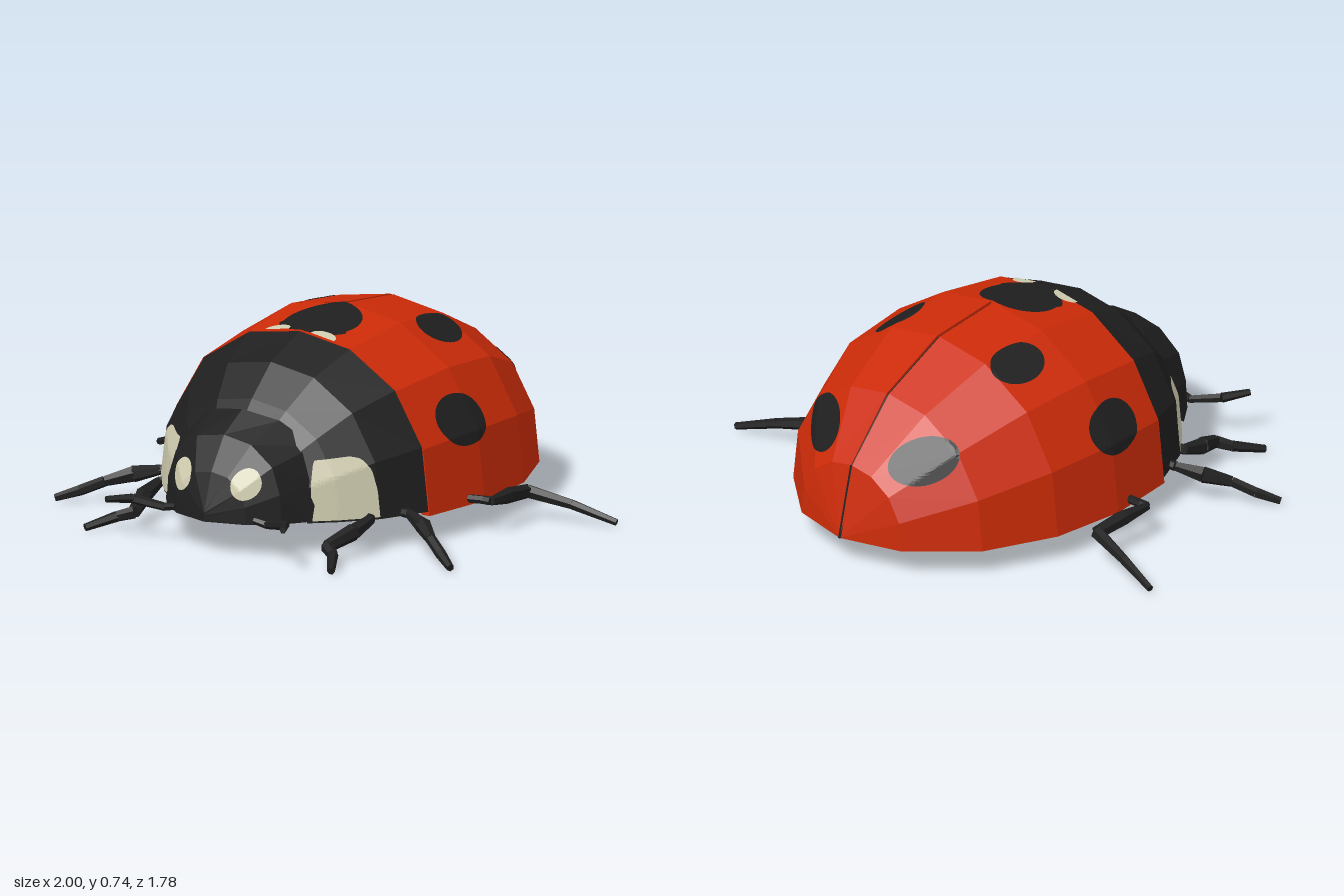
import * as THREE from 'three';

function paint(name, color) {
  const m = new THREE.MeshStandardMaterial({ color, side: THREE.DoubleSide });
  m.name = name;
  return m;
}
const red = paint('shellRed', 0xcc2b08);
const black = paint('bodyBlack', 0x1f1f1f);
const cream = paint('patchCream', 0xd0ccb0);

const V = (x, y, z) => new THREE.Vector3(x, y, z);

function named(name, geometry, material) {
  const mesh = new THREE.Mesh(geometry, material);
  mesh.name = name;
  return mesh;
}

// Flat-faced geometry from a list of triangle corners
function facets(points) {
  const g = new THREE.BufferGeometry().setFromPoints(points);
  g.computeVertexNormals();
  return g;
}

// Half arch from the +x foot to the crown, mirrored to a full arch
const flipArch = (half) => [...half].reverse().map(([x, y]) => [-x, y]);
const mirrorArch = (half) => [...half, ...flipArch(half).slice(1)];
const domeSide = [[1, 0], [0.95, 0.4], [0.74, 0.73], [0.39, 0.94]];
const domeArch = mirrorArch([...domeSide, [0, 1]]);
const wingArch = [...domeSide, [0.011, 1], [0.011, 0.982]];
const headArch = mirrorArch([[1, 0], [0.97, 0.36], [0.84, 0.69], [0.47, 0.93], [0, 1]]);

// Arched cross-sections [z, halfWidth, height, zShifts], listed back to front
function loftArches(rings, arch, base) {
  const at = (i, j) => {
    const [z, w, h, shift] = rings[i];
    const k = Math.min(j, arch.length - 1 - j);
    return V(arch[j][0] * w, base + arch[j][1] * h, z + (shift ? shift[k] : 0));
  };
  const pts = [];
  for (let i = 0; i < rings.length - 1; i++) {
    for (let j = 0; j < arch.length - 1; j++) {
      const a = at(i, j), b = at(i + 1, j), c = at(i + 1, j + 1), d = at(i, j + 1);
      pts.push(a, d, c, a, c, b);
    }
  }
  return facets(pts);
}

// Ribbon along the middle line through [z, y] points
function ribbon(rows, w) {
  return facets(rows.slice(1).flatMap(([z1, y1], i) => {
    const [z0, y0] = rows[i];
    const a = V(w, y0, z0), b = V(w, y1, z1), c = V(-w, y1, z1), d = V(-w, y0, z0);
    return [a, d, c, a, c, b];
  }));
}

// Level plate facing down at height y, from an outline of [x, z] points
function plate(outline, y) {
  const g = new THREE.ShapeGeometry(new THREE.Shape(outline.map(([x, z]) => new THREE.Vector2(x, z))));
  return g.rotateX(Math.PI / 2).translate(0, y, 0);
}

// Thin patch draped over a surface: outline in the (u, v) plane, cast along -dir
function drape(target, u, v, dir, outline, lift = 0.003) {
  const caster = new THREE.Raycaster();
  const bands = 10;
  const n = outline.length;
  const cx = outline.reduce((s, p) => s + p[0], 0) / n;
  const cy = outline.reduce((s, p) => s + p[1], 0) / n;
  const cast = (p, t) => {
    const start = dir.clone().multiplyScalar(3)
      .addScaledVector(u, cx + (p[0] - cx) * t)
      .addScaledVector(v, cy + (p[1] - cy) * t);
    caster.set(start, dir.clone().negate());
    const hit = caster.intersectObject(target)[0];
    if (!hit) return null;
    const normal = hit.face.normal.clone();
    if (normal.dot(dir) < 0) normal.negate();
    return hit.point.addScaledVector(normal, lift);
  };
  const pts = [];
  const tri = (...t) => { if (t.every(Boolean)) pts.push(...t); };
  for (let k = 0; k < bands; k++) {
    for (let i = 0; i < n; i++) {
      const p = outline[i], q = outline[(i + 1) % n];
      const a = cast(p, k / bands), b = cast(p, (k + 1) / bands);
      const c = cast(q, (k + 1) / bands), d = cast(q, k / bands);
      tri(a, b, c);
      if (k) tri(a, c, d);
    }
  }
  return facets(pts);
}

function ellipse(cx, cy, rx, ry, tilt = 0, maxY = Infinity) {
  return Array.from({ length: 40 }, (_, i) => {
    const a = (i / 40) * Math.PI * 2;
    const x = rx * Math.cos(a), y = ry * Math.sin(a);
    return [cx + x * Math.cos(tilt) - y * Math.sin(tilt),
      Math.min(maxY, cy + x * Math.sin(tilt) + y * Math.cos(tilt))];
  });
}

// Chain of tapered segments through [x, y, z, radius] points
function limb(name, path, side) {
  const group = new THREE.Group();
  group.name = name;
  for (let i = 0; i < path.length - 1; i++) {
    const [a, b] = [path[i], path[i + 1]].map((p) => V(p[0] * side, p[1], p[2]));
    const dir = b.clone().sub(a);
    const g = new THREE.CylinderGeometry(path[i + 1][3], path[i][3], dir.length(), 6).toNonIndexed();
    g.computeVertexNormals();
    const seg = named(name + 'Segment', g, black);
    seg.position.copy(a).add(b).multiplyScalar(0.5);
    seg.quaternion.setFromUnitVectors(V(0, 1, 0), dir.normalize());
    group.add(seg);
  }
  return group;
}

export function createModel() {
  const model = new THREE.Group();
  model.name = 'ladybird';
  const X = V(1, 0, 0), Y = V(0, 1, 0), Z = V(0, 0, 1);

  // Wing shell: two wings with a narrow gap, joined by a collar in front
  const shellRings = [[-0.89, 0, 0], [-0.825, 0.24, 0.265], [-0.63, 0.455, 0.48],
    [-0.36, 0.575, 0.61], [-0.07, 0.605, 0.643], [0.22, 0.566, 0.602]];
  const wings = shellRings.slice(0, 5);
  const shell = new THREE.Group();
  shell.name = 'wingShell';
  shell.add(named('leftWing', loftArches(wings, wingArch, 0.1), red));
  shell.add(named('rightWing', loftArches(wings, flipArch(wingArch), 0.1), red));
  shell.add(named('collar', loftArches([...shellRings.slice(4), [0.219, 0.53, 0.565]], domeArch, 0.1), red));
  model.add(shell);

  // Dark floor of the gap, and its open end at the tail
  model.add(named('wingSeam', ribbon(wings.map(([z, , h]) => [z, 0.1 + h * 0.983]), 0.0065), black));
  model.add(named('tailSeam', ribbon([[-0.893, 0.1], [-0.828, 0.367]], 0.004), black));

  // Inside of the shell and the rim joining it to the outside
  const inner = shellRings.map(([z, w, h]) => [z < 0 ? z * 0.965 : z, w * 0.95, h * 0.95]);
  model.add(named('shellLining', loftArches(inner, domeArch, 0.1), red));
  const rimHalf = [...shellRings, ...[...inner].reverse()].map(([z, w]) => [w, z]);
  model.add(named('leftRim', plate(rimHalf, 0.1), red));
  model.add(named('rightRim', plate(rimHalf.map(([x, z]) => [-x, z]), 0.1), red));

  // Flat belly set slightly up inside the shell, thorax and head
  const bellySide = [[0.2, -0.71], [0.39, -0.58], [0.53, -0.35], [0.572, -0.07], [0.535, 0.22], [0.468, 0.4],
    [0.3, 0.585], [0.24, 0.69], [0.14, 0.765]];
  const belly = [[0, -0.75], ...bellySide, [0, 0.8], ...flipArch(bellySide)];
  model.add(named('belly', plate(belly, 0.15), black));

  // Thorax shield
  const thorax = named('thorax', loftArches([[0.2, 0.562, 0.587], [0.22, 0.56, 0.584], [0.4, 0.478, 0.51],
    [0.52, 0.38, 0.4], [0.6, 0.295, 0.305]], domeArch, 0.115), black);
  model.add(thorax);

  // Head, its back edge overlapping the thorax
  const head = named('head', loftArches([[0.59, 0.3, 0.345, [0.01, -0.04, -0.08, -0.03, -0.005]],
    [0.59, 0.318, 0.365, [0.01, -0.04, -0.08, -0.03, -0.01]],
    [0.695, 0.25, 0.295], [0.775, 0.15, 0.175], [0.82, 0, 0.035]], headArch, 0.125), black);
  model.add(head);

  // Central spot behind the thorax
  model.add(named('centreSpot', drape(shell, X, Z, Y, ellipse(0, 0.075, 0.143, 0.143)
    .map(([x, z]) => (z > 0.12 ? [x * 1.12, Math.min(0.2195, z)] : [x, z]))), black));

  for (const s of [1, -1]) {
    const tag = s > 0 ? 'left' : 'right';
    const sx = V(s, 0, 0);
    const r = Math.SQRT1_2;

    // Wing spots, the rear one seen square-on from behind and to the side
    const spots = {
      MiddleSpot: [sx, Z, Y, ellipse(0.28, -0.25, 0.07, 0.115, -0.1)],
      SideSpot: [Z, Y, sx, ellipse(-0.02, 0.4, 0.125, 0.088)],
      RearSpot: [V(s * r, 0, r), V(-s * r / 2, 0.866, r / 2), V(s * r * 0.866, 0.5, -r * 0.866),
        ellipse(-0.329, 0.026, 0.13, 0.086, 0.25)],
    };
    for (const [spot, args] of Object.entries(spots)) {
      model.add(named(tag + spot, drape(shell, ...args), black));
    }

    // Pale marks beside the centre spot, sitting just above it
    model.add(named(tag + 'ShellMark',
      drape(shell, sx, Z, Y, ellipse(0.098, 0.215, 0.05, 0.038, 0, 0.2198), 0.007), cream));

    // Cheek patches
    const cheek = new THREE.Shape([[-0.2, 0.122], [-0.2, 0.25], [-0.185, 0.335], [-0.05, 0.345], [-0.01, 0.335],
      [0.025, 0.295], [0.045, 0.22], [0.053, 0.122], [-0.2, 0.122]].map((p) => new THREE.Vector2(...p)));
    const outline = cheek.getSpacedPoints(48).slice(0, -1).map((p) => [p.x, p.y]);
    model.add(named(tag + 'Cheek', drape(thorax, V(s * r, 0, -r), Y, V(s * r, 0, r), outline), cream));

    // Eyes
    model.add(named(tag + 'Eye', drape(head, sx, Y, Z, ellipse(0.136, 0.268, 0.05, 0.055)), cream));

    // Legs and antennae
    model.add(limb(tag + 'RearLeg', [[0.54, 0.12, 0.01, 0.016], [0.65, 0.125, 0, 0.016], [0.68, 0.125, 0.0, 0.016],
      [0.67, 0.118, -0.12, 0.03], [0.665, 0.105, -0.25, 0.026], [0.83, 0.07, -0.295, 0.019],
      [0.995, 0.02, -0.335, 0.013]], s));
    model.add(limb(tag + 'MiddleLeg', [[0.42, 0.13, 0.3, 0.016], [0.54, 0.125, 0.31, 0.018], [0.63, 0.105, 0.355, 0.031],
      [0.71, 0.08, 0.42, 0.02], [0.785, 0.045, 0.465, 0.02], [0.86, 0.017, 0.515, 0.014]], s));
    model.add(limb(tag + 'FrontLeg', [[0.41, 0.13, 0.4, 0.016], [0.46, 0.12, 0.44, 0.02], [0.455, 0.095, 0.54, 0.032],
      [0.42, 0.06, 0.655, 0.024], [0.47, 0.045, 0.69, 0.02], [0.535, 0.017, 0.795, 0.014]], s));
    model.add(limb(tag + 'Antenna', [[0.17, 0.14, 0.75, 0.013], [0.22, 0.13, 0.745, 0.015], [0.33, 0.155, 0.79, 0.018],
      [0.385, 0.163, 0.88, 0.012]], s));
  }
  return model;
}
